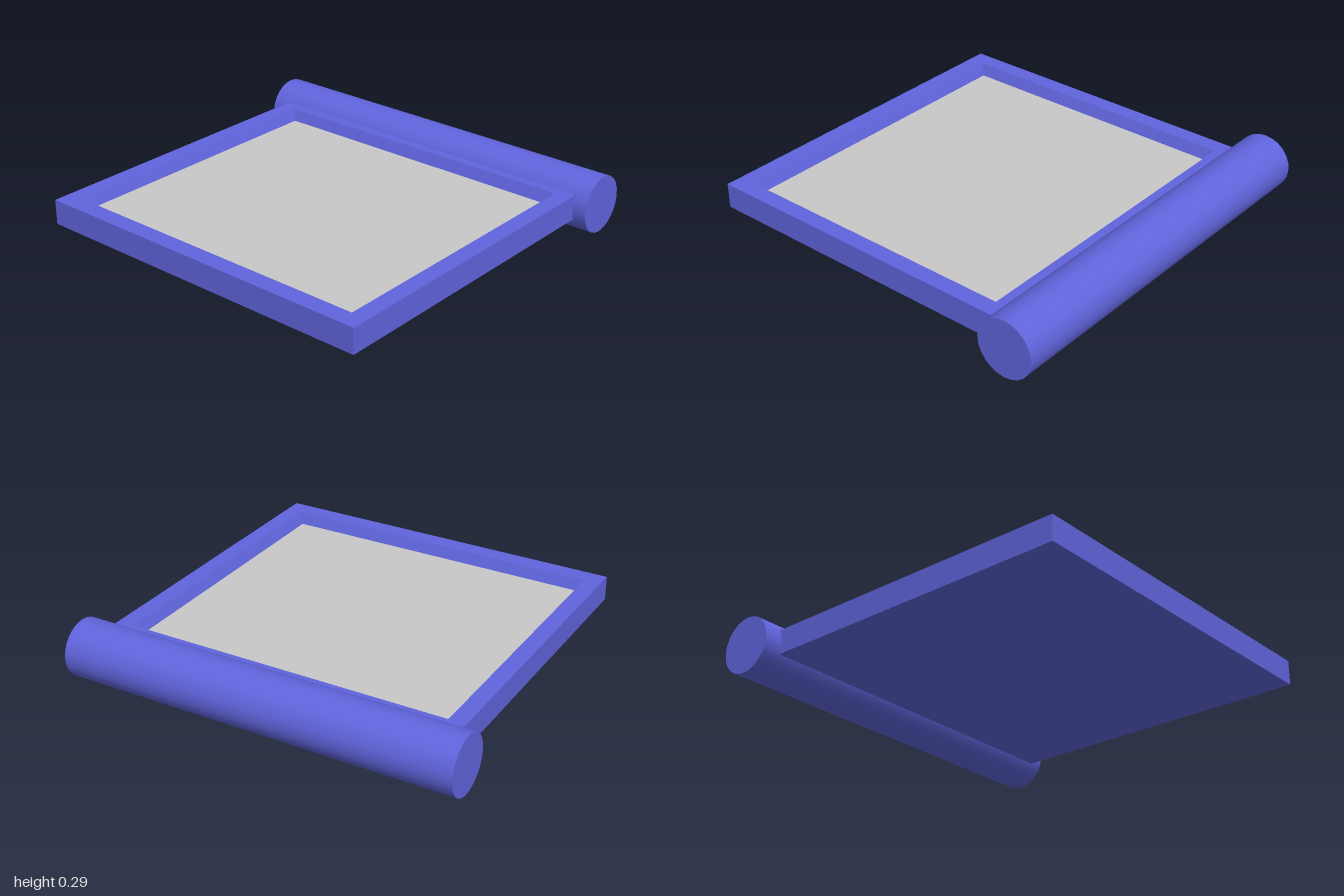
import * as THREE from 'three';

const blue = new THREE.MeshStandardMaterial({ color: 0x6064dc });
blue.name = 'blue';
const grey = new THREE.MeshStandardMaterial({ color: 0xc8c8c8 });
grey.name = 'grey';

// Rectangle corners at height y, counter-clockwise from above
const rect = (x0, x1, z0, z1, y) => [[x0, y, z1], [x1, y, z1], [x1, y, z0], [x0, y, z0]];

// Flat-shaded mesh from four-cornered faces
function facesMesh(name, faces, material) {
  const points = faces.flatMap(([a, b, c, d]) => [a, b, c, a, c, d]).flat();
  const geometry = new THREE.BufferGeometry();
  geometry.setAttribute('position', new THREE.Float32BufferAttribute(points, 3));
  geometry.computeVertexNormals();
  const mesh = new THREE.Mesh(geometry, material);
  mesh.name = name;
  return mesh;
}

export function createModel() {
  const model = new THREE.Group();
  model.name = 'trayWithRoller';

  // Tray: outer walls, flat rim, then walls sloping in to the floor
  const rings = [
    rect(-0.905, 0.93, -0.73, 0.955, 0.09),
    rect(-0.905, 0.93, -0.73, 0.955, 0.216),
    rect(-0.82, 0.845, -0.64, 0.865, 0.216),
    rect(-0.795, 0.82, -0.615, 0.84, 0.16),
  ];
  const faces = [[...rings[0]].reverse()];
  for (let r = 0; r < 3; r++) {
    for (let i = 0; i < 4; i++) {
      const j = (i + 1) % 4;
      faces.push([rings[r][i], rings[r][j], rings[r + 1][j], rings[r + 1][i]]);
    }
  }
  model.add(facesMesh('tray', faces, blue));

  // Recessed panel
  model.add(facesMesh('panel', [rings[3]], grey));

  // Round bar along the back edge
  const bar = new THREE.Mesh(new THREE.CylinderGeometry(0.144, 0.144, 2, 24), blue);
  bar.name = 'backBar';
  bar.rotation.z = Math.PI / 2;
  bar.position.set(0, 0.144, -0.814);
  model.add(bar);

  return model;
}
